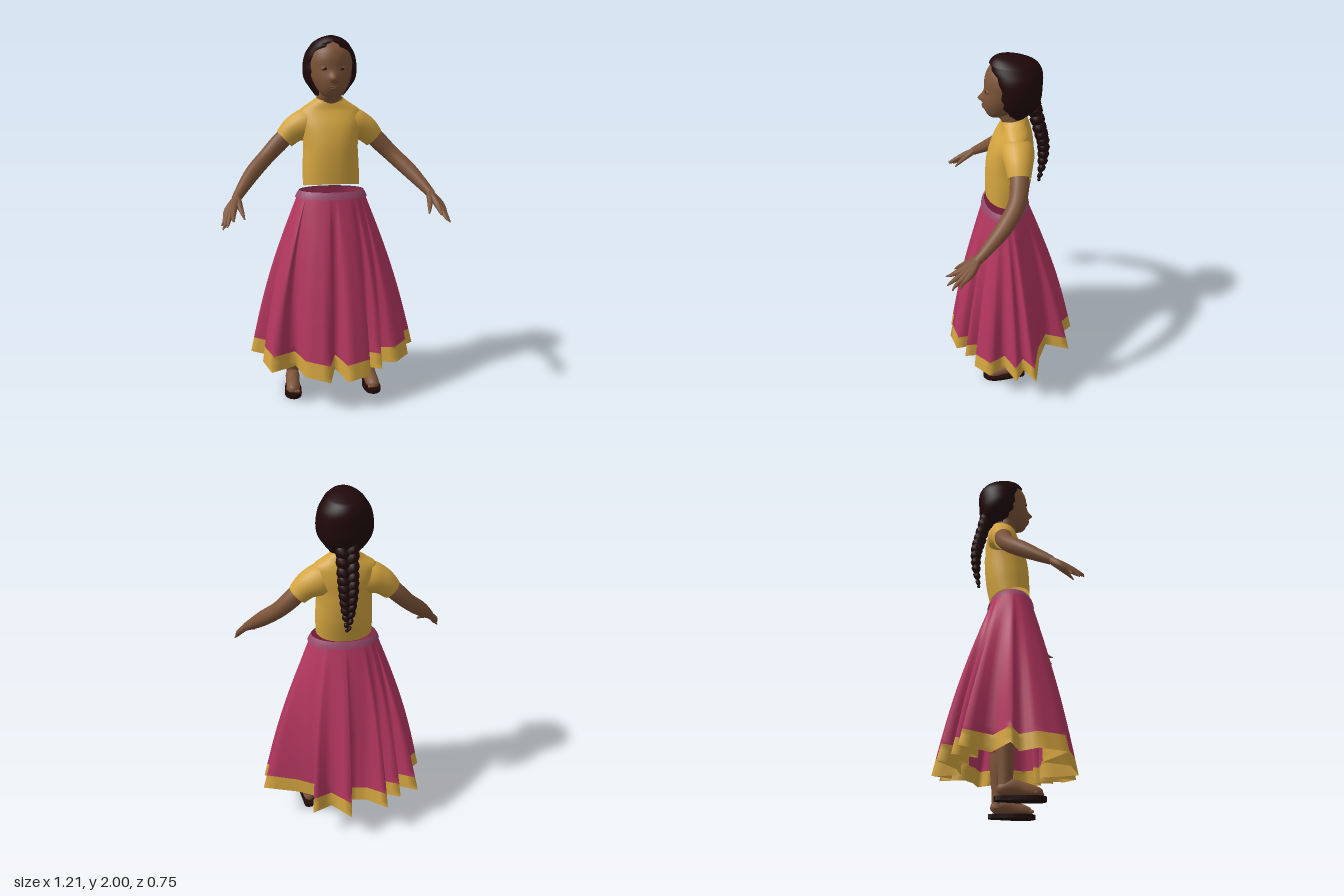
import * as THREE from 'three';

const mat = (name, color, side = THREE.FrontSide) => {
  const m = new THREE.MeshStandardMaterial({ color, side });
  m.name = name;
  return m;
};

// Smooth interpolation of a table of rows at v in 0..1
function sample(rows, v) {
  const f = Math.min(v, 0.99999) * (rows.length - 1), i = Math.floor(f), t = f - i;
  const row = k => rows[Math.max(0, Math.min(rows.length - 1, k))];
  return rows[0].map((_, c) => {
    const [p, a, b, n] = [row(i - 1)[c], row(i)[c], row(i + 1)[c], row(i + 2)[c]];
    const m0 = (b - p) / 2, m1 = (n - a) / 2;
    return a + m0 * t + (3 * (b - a) - 2 * m0 - m1) * t * t + (m0 + m1 - 2 * (b - a)) * t * t * t;
  });
}

// Surface from fn(u, v) -> [x, y, z]; u runs around, v along
function surface(fn, nu, nv, wrap = true) {
  const cols = wrap ? nu : nu + 1, pos = [], index = [];
  for (let j = 0; j <= nv; j++) for (let i = 0; i < cols; i++) pos.push(...fn(i / nu, j / nv));
  for (let j = 0; j < nv; j++) for (let i = 0; i < nu; i++) {
    const a = j * cols + i, b = j * cols + (i + 1) % cols;
    index.push(a, b, a + cols, b, b + cols, a + cols);
  }
  const g = new THREE.BufferGeometry();
  g.setAttribute('position', new THREE.Float32BufferAttribute(pos, 3));
  g.setIndex(index);
  g.computeVertexNormals();
  return g;
}

// Upward stack of ellipses; rows are [y, rx, centreZ, rz]
const stack = (rows, nu, nv) => surface((u, v) => {
  const [y, rx, cz, rz] = sample(rows, v), a = u * Math.PI * 2;
  return [Math.sin(a) * rx, y, cz + Math.cos(a) * rz];
}, nu, nv);

// Tapered limb through rows [x, y, z, radius], flat below minY
function limb(rows, nu = 12, nv = 20, minY = -1) {
  const P = v => new THREE.Vector3(...sample(rows, v));
  const span = P(1).sub(P(0)).normalize();
  const ref = Math.abs(span.z) > 0.7 ? new THREE.Vector3(0, 1, 0) : new THREE.Vector3(0, 0, 1);
  return surface((u, v) => {
    const T = P(Math.min(1, v + 0.01)).sub(P(Math.max(0, v - 0.01))).normalize();
    const N = ref.clone().cross(T).normalize(), B = T.clone().cross(N), a = u * Math.PI * 2;
    const r = Math.max(0, sample(rows, v)[3]);
    const p = P(v).addScaledVector(N, r * Math.cos(a)).addScaledVector(B, r * Math.sin(a));
    return [p.x, Math.max(minY, p.y), p.z];
  }, nu, nv);
}

export function createModel() {
  const model = new THREE.Group();
  const skin = mat('brown skin', 0x7d5439), lip = mat('lips', 0x704935);
  const hair = mat('dark hair', 0x200809, THREE.DoubleSide), dark = mat('dark eyes', 0x2c1510);
  const yellow = mat('yellow cloth', 0xd3a43f, THREE.DoubleSide);
  const pink = mat('pink cloth', 0xb3365f, THREE.DoubleSide);
  const belt = mat('dusty pink waistband', 0x97486b, THREE.DoubleSide);
  const sole = mat('dark sandal', 0x200907);
  const add = (name, geo, m, x = 0, y = 0, z = 0) => {
    const mesh = new THREE.Mesh(geo, m);
    mesh.name = name;
    mesh.position.set(x, y, z);
    model.add(mesh);
    return mesh;
  };
  const ball = (name, m, p, s, n = 12) => {
    const b = add(name, new THREE.SphereGeometry(1, n, Math.ceil(n * 0.7)), m, ...p);
    b.scale.set(...s);
    return b;
  };

  // Head, with the nose drawn out of the face, and neck
  const headRows = [
    [1.674, 0, 0.085, 0], [1.68, 0.038, 0.08, 0.035], [1.7, 0.063, 0.062, 0.068],
    [1.73, 0.083, 0.042, 0.1], [1.77, 0.101, 0.03, 0.113], [1.82, 0.114, 0.02, 0.115],
    [1.88, 0.117, 0.01, 0.121], [1.93, 0.1, 0, 0.11], [1.97, 0.05, 0, 0.06], [1.98, 0, 0, 0]];
  add('head', surface((u, v) => {
    const [y, rx, cz, rz] = sample(headRows, v), a = u * Math.PI * 2, x = Math.sin(a) * rx;
    const tall = y > 1.772 ? 0.028 : 0.012;
    const nose = Math.cos(a) > 0 ? 0.026 * Math.exp(-((x / 0.016) ** 2) - ((y - 1.772) / tall) ** 2) : 0;
    return [x, y, cz + Math.cos(a) * rz + nose];
  }, 56, 60), skin);
  add('neck', stack([[1.63, 0.07, -0.015, 0.06], [1.65, 0.066, -0.01, 0.062],
    [1.68, 0.062, 0.01, 0.062], [1.71, 0.063, 0.015, 0.06]], 20, 8), skin);
  ball('upperLip', lip, [0, 1.734, 0.139], [0.024, 0.005, 0.01]);
  ball('lowerLip', lip, [0, 1.724, 0.136], [0.02, 0.006, 0.01]);

  // Hair cap, open around the face with a ragged edge
  const hairRows = [
    [1.68, 0.08, -0.02, 0.055, 1.5], [1.72, 0.108, -0.02, 0.112, 1.2], [1.77, 0.14, -0.02, 0.13, 1.0],
    [1.83, 0.148, -0.02, 0.135, 0.92], [1.9, 0.135, -0.018, 0.138, 0.72], [1.945, 0.107, -0.01, 0.126, 0.35],
    [1.965, 0.09, 0, 0.104, 0], [1.988, 0.05, 0.02, 0.06, 0], [2, 0, 0.03, 0, 0]];
  add('hair', surface((u, v) => {
    const [y, rx, cz, rz, open] = sample(hairRows, v);
    const o = Math.max(0, open + (open > 0.1 ? 0.07 * Math.sin(v * 50) : 0));
    const a = o + u * (Math.PI * 2 - 2 * o);
    const k = open > 0.1 ? 1 - 0.09 * Math.pow(Math.abs(2 * u - 1), 10) : 1;
    return [Math.sin(a) * rx * k, y, cz + Math.cos(a) * rz * k];
  }, 32, 32, false), hair);

  // Braid of crossing strands
  const braidPath = [[0, 1.72, -0.115, 0.05], [0, 1.6, -0.145, 0.047], [0, 1.5, -0.168, 0.042],
    [0, 1.39, -0.166, 0.031], [0, 1.28, -0.15, 0.012]];
  for (let i = 0; i < 22; i++) {
    const [, y, z, r] = sample(braidPath, i / 21), s = i % 2 ? 1 : -1;
    ball('braidStrand', hair, [s * r * 0.5, y, z], [r * 0.72, r * 0.9, r * 0.8], 8).rotation.z = s * -0.5;
  }

  // Blouse, with a hem that dips at the back and a collar that dips at the front
  const shirtRows = [
    [1.197, 0.155, 0.03, 0.112], [1.3, 0.155, 0.018, 0.123], [1.4, 0.15, 0.01, 0.125],
    [1.47, 0.155, 0.003, 0.117], [1.53, 0.168, -0.008, 0.106], [1.58, 0.172, -0.018, 0.088],
    [1.61, 0.16, -0.022, 0.076], [1.64, 0.115, -0.02, 0.068], [1.657, 0.09, -0.018, 0.064],
    [1.67, 0.073, -0.012, 0.062]];
  add('blouse', surface((u, v) => {
    const [y, rx, cz, rz] = sample(shirtRows, v), a = u * Math.PI * 2;
    const bend = x => Math.sign(x) * Math.pow(Math.abs(x), 0.9);
    const tilt = 0.02 * Math.max(0, 1 - v * 5) - 0.014 * Math.max(0, v * 5 - 4);
    return [bend(Math.sin(a)) * rx, y + tilt * Math.cos(a), cz + bend(Math.cos(a)) * rz];
  }, 36, 36), yellow);

  for (const s of [1, -1]) {
    const side = s > 0 ? 'left' : 'right';
    const mirror = rows => rows.map(([x, y, z, r]) => [s * x, y, z, r]);

    // Eyes
    ball(side + 'Eyelid', skin, [s * 0.044, 1.826, 0.115], [0.022, 0.015, 0.014]);
    ball(side + 'Eye', dark, [s * 0.044, 1.825, 0.122], [0.014, 0.008, 0.01]);

    // Sleeve and arm
    add(side + 'Sleeve', limb(mirror([[0.115, 1.532, -0.025, 0.085], [0.15, 1.52, -0.026, 0.084],
      [0.2, 1.495, -0.027, 0.072], [0.25, 1.447, -0.026, 0.058]]), 20, 14), yellow);
    add(side + 'Arm', limb(mirror([[0.232, 1.473, -0.027, 0.048], [0.28, 1.425, -0.025, 0.049],
      [0.35, 1.355, -0.005, 0.044], [0.43, 1.277, 0.06, 0.042], [0.495, 1.2, 0.145, 0.031],
      [0.53, 1.155, 0.2, 0.023]]), 16, 24), skin);

    // Hand: four fingers growing from the palm, plus a thumb
    const tips = [[0.54, 1.075, 0.355], [0.575, 1.045, 0.35], [0.598, 1.03, 0.325], [0.604, 1.042, 0.282]];
    tips.forEach(([x, y, z], i) => add(side + 'Finger', limb(mirror([
      [0.517, 1.17, 0.185, 0.02], [0.538 + i * 0.011, 1.122 - i * 0.004, 0.262 - i * 0.011, 0.018],
      [0.3 * 0.55 + x * 0.7, 0.3 * 1.115 + y * 0.7, 0.3 * 0.255 + z * 0.7, 0.01], [x, y, z, 0.003]]), 8, 12), skin));
    add(side + 'Thumb', limb(mirror([[0.518, 1.165, 0.195, 0.02], [0.506, 1.13, 0.245, 0.016],
      [0.494, 1.1, 0.285, 0.01], [0.485, 1.075, 0.312, 0.003]]), 8, 12), skin);

    // Lower leg, foot and sandal sole
    add(side + 'Leg', limb(mirror([[0.222, 0.05, -0.018, 0.034], [0.222, 0.12, -0.014, 0.037],
      [0.22, 0.2, -0.015, 0.043], [0.218, 0.27, -0.016, 0.048], [0.215, 0.35, -0.016, 0.05]]), 16, 16), skin);
    add(side + 'Foot', limb(mirror([[0.224, 0.05, -0.06, 0], [0.224, 0.055, -0.042, 0.028],
      [0.224, 0.068, 0.012, 0.04], [0.227, 0.055, 0.065, 0.039], [0.231, 0.04, 0.12, 0.038],
      [0.232, 0.037, 0.155, 0.026], [0.232, 0.035, 0.168, 0]]), 16, 24, 0.03), skin);
    for (let i = 0; i < 5; i++) {
      ball(side + 'Toe', skin, [s * (0.204 + i * 0.0145), 0.037, 0.162 - i * i * 0.0022],
        [0.009, 0.009, 0.014], 8);
    }
    const outline = new THREE.Shape(new THREE.SplineCurve([[0.045, 0.07], [0.025, 0.065], [0.015, 0.01],
      [0, -0.08], [0.012, -0.16], [0.05, -0.185], [0.087, -0.16], [0.098, -0.1], [0.082, 0],
      [0.07, 0.06], [0.045, 0.07]].map(([x, y]) => new THREE.Vector2(s * (x + 0.18), y))).getPoints(36));
    const soleGeo = new THREE.ExtrudeGeometry(outline, { depth: 0.022, bevelEnabled: false });
    add(side + 'Sole', soleGeo.rotateX(-Math.PI / 2), sole);
  }

  // Pleated skirt: an elliptical waist falling to a folded hem line of [x, z] points
  const hem = [[0, 0.185], [0.045, 0.38], [0.175, 0.34], [0.145, 0.2], [0.25, 0.29], [0.24, 0.18],
    [0.34, 0.235], [0.43, 0.15], [0.36, 0.06], [0.49, 0], [0.4, -0.05], [0.5, -0.115], [0.3, -0.15],
    [0.17, -0.2], [0.225, -0.335], [0.11, -0.27], [0.005, -0.375], [-0.015, -0.225], [-0.1, -0.25],
    [-0.21, -0.35], [-0.155, -0.19], [-0.3, -0.28], [-0.255, -0.15], [-0.41, -0.25], [-0.33, -0.09],
    [-0.46, -0.01], [-0.35, 0.04], [-0.4, 0.13], [-0.36, 0.28], [-0.22, 0.17], [-0.18, 0.315], [-0.05, 0.377]];
  const skirtPoint = (u, t) => {
    const f = u * hem.length, i = Math.floor(f), k = f - i;
    const [ax, az] = hem[i % hem.length], [bx, bz] = hem[(i + 1) % hem.length];
    const hx = ax + (bx - ax) * k, hz = az + (bz - az) * k, a = Math.atan2(hx, hz);
    const ex = Math.sin(a) * 0.47, ez = Math.cos(a) * 0.37, fold = Math.pow(t, 1.35);
    const wx = Math.sin(a) * 0.18, wz = 0.035 + Math.cos(a) * 0.115;
    const flare = t + 0.09 * Math.sin(Math.PI * t);
    const hemY = 0.17 + 0.055 * Math.abs(hx) / 0.47;
    return [wx + (ex - wx) * flare + (hx - ex) * fold, 1.165 + (hemY - 1.165) * t,
      wz + (ez - wz) * flare + (hz - ez) * fold];
  };
  const border = 0.91;
  add('skirt', surface((u, v) => skirtPoint(u, border * (1 - v)), hem.length * 3, 24), pink);
  add('skirtBorder', surface((u, v) => skirtPoint(u, 1 - (1 - border) * v), hem.length * 3, 3), yellow);
  add('waistband', stack([[1.135, 0.2, 0.034, 0.132], [1.155, 0.191, 0.034, 0.125],
    [1.173, 0.179, 0.034, 0.115]], 36, 4), belt);

  return model;
}
